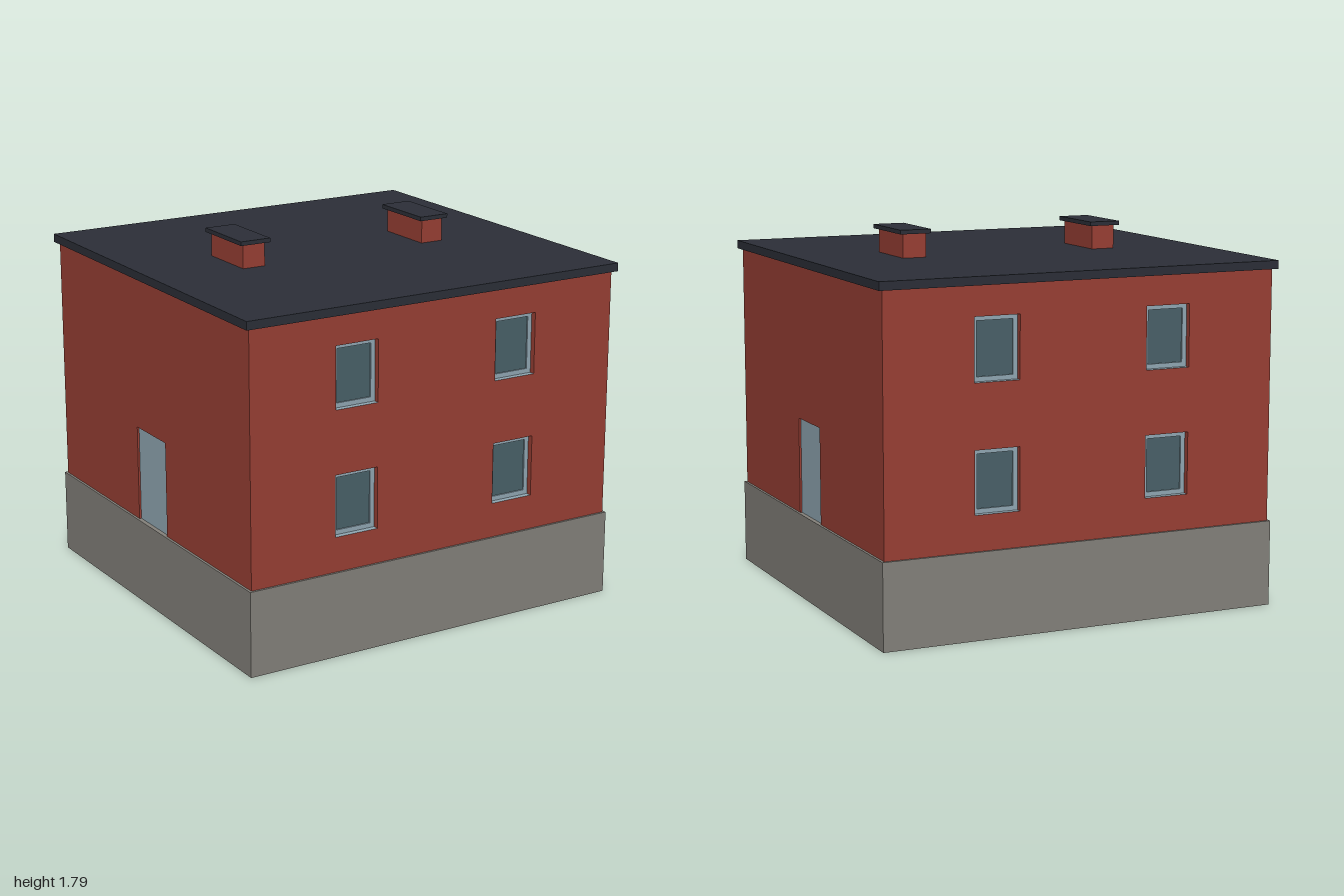
import * as THREE from 'three';

const mat = (color) => new THREE.MeshStandardMaterial({ color, side: THREE.DoubleSide, flatShading: true });
const brick = mat(0x9a4035), stone = mat(0x85827c), slate = mat(0x2c2f38);
const paint = mat(0x92a9b5), glass = mat(0x4a626a);

const HX = 0.978, HZ = 0.944;         // half size of the brick shell
const PX = 0.99, PZ = 0.955;          // half size of the plinth
const BASE = 0.41, EAVES = 1.612;
const WIN_W = 0.222, WIN_H = 0.295, FRAME = 0.022, RECESS = 0.04;
const DOOR_W = 0.286, DOOR_TOP = 0.873, DOOR_RECESS = 0.01;

function add(parent, name, geometry, material, x = 0, y = 0, z = 0) {
  const mesh = new THREE.Mesh(geometry, material);
  mesh.name = name;
  mesh.position.set(x, y, z);
  parent.add(mesh);
  return mesh;
}

const box = (w, h, d) => new THREE.BoxGeometry(w, h, d);

function trace(path, points) {
  points.forEach(([x, y], i) => (i ? path.lineTo(x, y) : path.moveTo(x, y)));
  path.closePath();
  return path;
}

const rect = (path, x, y, hw, hh) =>
  trace(path, [[x - hw, y - hh], [x + hw, y - hh], [x + hw, y + hh], [x - hw, y + hh]]);

// The sides of an opening, running back from the wall face
function addReveals(parent, w, h, depth, sill) {
  for (const s of [-1, 1]) {
    add(parent, 'sideReveal', new THREE.PlaneGeometry(depth, h), brick, s * w / 2, 0, -depth / 2)
      .rotation.y = -s * Math.PI / 2;
  }
  add(parent, 'topReveal', new THREE.PlaneGeometry(w, depth), brick, 0, h / 2, -depth / 2)
    .rotation.x = Math.PI / 2;
  if (sill) {
    add(parent, 'sill', new THREE.PlaneGeometry(w, depth), paint, 0, -h / 2, -depth / 2)
      .rotation.x = -Math.PI / 2;
  }
}

function makeWindow(x, y) {
  const group = new THREE.Group();
  group.name = 'window';
  group.position.set(x, y, 0);
  addReveals(group, WIN_W, WIN_H, RECESS, true);
  const ring = rect(new THREE.Shape(), 0, 0, WIN_W / 2, WIN_H / 2);
  const iw = WIN_W / 2 - FRAME, ih = WIN_H / 2 - FRAME;
  ring.holes.push(rect(new THREE.Path(), 0, 0, iw, ih));
  add(group, 'windowFrame', new THREE.ExtrudeGeometry(ring, { depth: 0.012, bevelEnabled: false }),
    paint, 0, 0, -RECESS);
  add(group, 'windowPane', new THREE.PlaneGeometry(iw * 2, ih * 2), glass, 0, 0, -RECESS + 0.005);
  return group;
}

// Long wall with four windows, facing +z
function makeWindowWall() {
  const group = new THREE.Group();
  group.name = 'windowWall';
  const shape = rect(new THREE.Shape(), 0, (BASE + EAVES) / 2, HX, (EAVES - BASE) / 2);
  for (const x of [-0.43, 0.43]) {
    for (const y of [0.725, 1.324]) {
      shape.holes.push(rect(new THREE.Path(), x, y, WIN_W / 2, WIN_H / 2));
      group.add(makeWindow(x, y));
    }
  }
  add(group, 'wall', new THREE.ShapeGeometry(shape), brick);
  return group;
}

// Side wall with a doorway cut up from its foot, facing +z
function makeDoorWall() {
  const group = new THREE.Group();
  group.name = 'doorWall';
  const d = DOOR_W / 2, h = DOOR_TOP - BASE;
  const shape = trace(new THREE.Shape(), [
    [-HZ, BASE], [-d, BASE], [-d, DOOR_TOP], [d, DOOR_TOP],
    [d, BASE], [HZ, BASE], [HZ, EAVES], [-HZ, EAVES],
  ]);
  add(group, 'wall', new THREE.ShapeGeometry(shape), brick);
  const doorway = new THREE.Group();
  doorway.name = 'doorway';
  doorway.position.y = BASE + h / 2;
  addReveals(doorway, DOOR_W, h, DOOR_RECESS, false);
  add(doorway, 'door', new THREE.PlaneGeometry(DOOR_W, h), paint, 0, 0, -DOOR_RECESS);
  group.add(doorway);
  return group;
}

// Open-bottomed plinth with a narrow ledge around the walls
function makePlinth() {
  const group = new THREE.Group();
  group.name = 'plinth';
  for (let i = 0; i < 4; i++) {
    const side = new THREE.Group();
    side.name = 'plinthSide';
    side.rotation.y = i * Math.PI / 2;
    const [w, out] = i % 2 ? [PZ, PX] : [PX, PZ];
    add(side, 'plinthFace', new THREE.PlaneGeometry(w * 2, BASE), stone, 0, BASE / 2, out);
    group.add(side);
  }
  const ledge = rect(new THREE.Shape(), 0, 0, PX, PZ);
  const inset = DOOR_RECESS;
  ledge.holes.push(rect(new THREE.Path(), 0, 0, HX - inset, HZ));
  add(group, 'ledge', new THREE.ShapeGeometry(ledge), stone, 0, BASE, 0).rotation.x = -Math.PI / 2;
  return group;
}

function makeChimney(x) {
  const group = new THREE.Group();
  group.name = 'chimney';
  group.position.set(x, 0, -0.004);
  add(group, 'chimneyStack', box(0.116, 0.125, 0.304), brick, 0, 1.7045, 0);
  add(group, 'chimneyCap', box(0.155, 0.02, 0.342), slate, 0, 1.776, 0);
  return group;
}

export function createModel() {
  const house = new THREE.Group();
  house.name = 'house';
  house.add(makePlinth());

  // Walls: windows front and back, doors left and right
  for (let i = 0; i < 4; i++) {
    const side = new THREE.Group();
    side.name = ['frontSide', 'leftSide', 'backSide', 'rightSide'][i];
    side.rotation.y = i * Math.PI / 2;
    const wall = i % 2 ? makeDoorWall() : makeWindowWall();
    wall.position.z = i % 2 ? HX : HZ;
    side.add(wall);
    house.add(side);
  }

  // Flat roof slab and chimneys
  add(house, 'roof', box(2, 0.04, 1.93), slate, 0, 1.632, 0);
  for (const x of [-0.497, 0.497]) house.add(makeChimney(x));
  return house;
}
